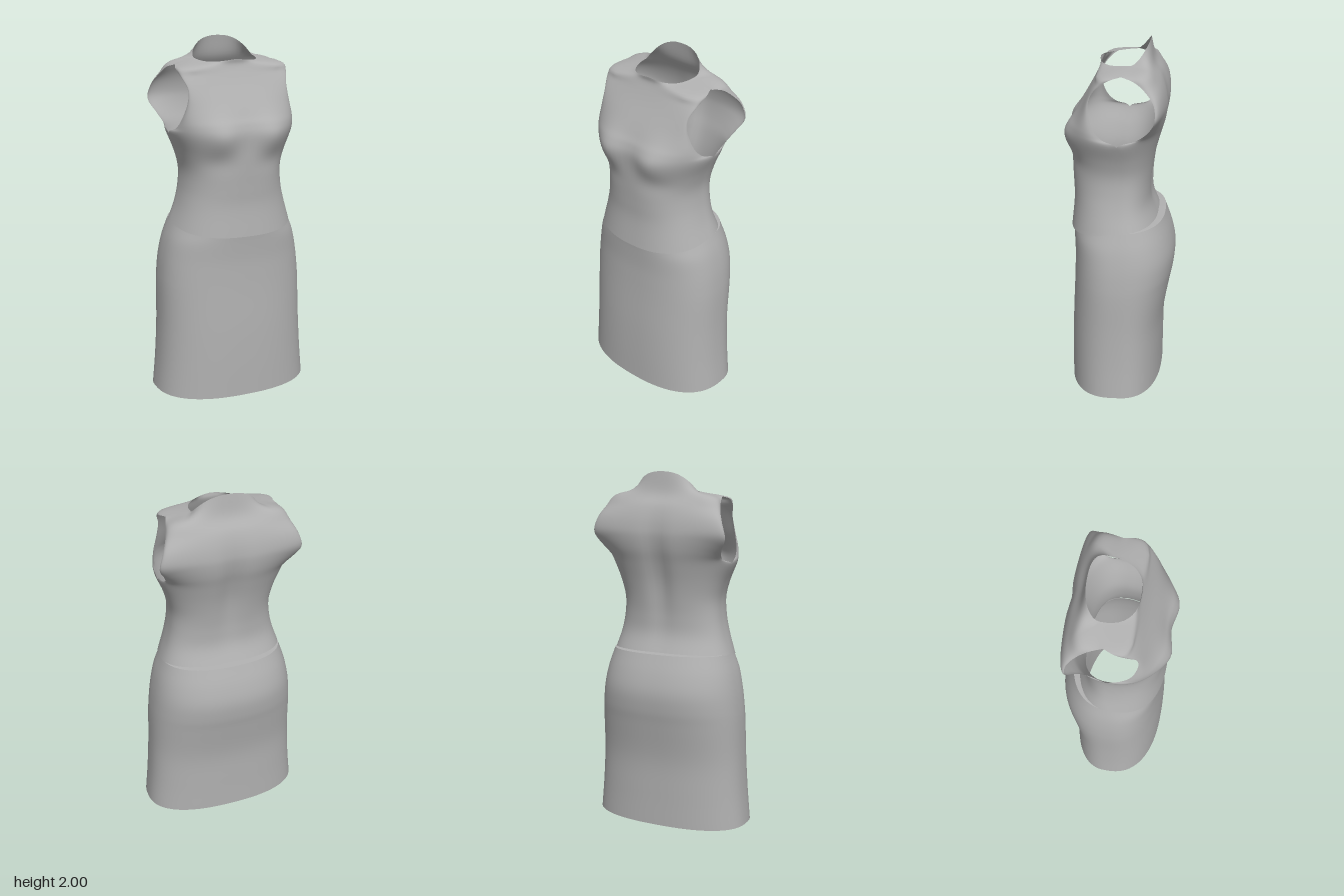
import * as THREE from 'three';
import { mergeGeometries, mergeVertices } from 'three/addons/utils/BufferGeometryUtils.js';

const NU = 40; // columns across a panel
const SUB = 5; // steps between neighbouring rows
const ROUND = 0.83; // squareness of the cross-sections

// Row: [y at centre, y at edge, x of edge, z of edge, z at centre]
function rowPoint([yc, ye, ex, ez, zc], u) {
  const a = Math.abs(u) * Math.PI / 2;
  const s = Math.pow(Math.sin(a), ROUND);
  const c = Math.pow(Math.max(0, Math.cos(a)), ROUND);
  return new THREE.Vector3(Math.sign(u) * ex * s, yc + (ye - yc) * u * u, ez + (zc - ez) * c);
}

// Smooth panel through the rows; a row may also be a function of u.
// Segment `straight` keeps its outer edge straight so both panels meet there.
function panel(rows, { back = false, straight = -1, relief = () => 0 } = {}) {
  const pos = [], index = [];
  const nv = (rows.length - 1) * SUB;
  for (let i = 0; i <= NU; i++) {
    const u = (i / NU) * 2 - 1;
    const pts = rows.map(r => (typeof r === 'function' ? r(u) : rowPoint(r, u)));
    const curve = new THREE.CatmullRomCurve3(pts, false, 'catmullrom', 0.5);
    for (let j = 0; j <= nv; j++) {
      const p = curve.getPoint(j / nv);
      const k = Math.floor(j / SUB);
      if (Math.abs(u) === 1 && k === straight) p.lerpVectors(pts[k], pts[k + 1], (j % SUB) / SUB);
      p.z += relief(p.x, p.y) * (1 - u * u);
      pos.push(p.x, p.y, p.z);
    }
  }
  const n = nv + 1;
  for (let i = 0; i < NU; i++) for (let j = 0; j < nv; j++) {
    const a = i * n + j, b = a + n, c = b + 1, d = a + 1;
    if (back) index.push(a, c, b, a, d, c);
    else index.push(a, b, c, a, c, d);
  }
  const g = new THREE.BufferGeometry();
  g.setAttribute('position', new THREE.Float32BufferAttribute(pos, 3));
  g.setIndex(index);
  return g;
}

function sewn(front, back) {
  const g = mergeVertices(mergeGeometries([front, back]), 1e-4);
  g.computeVertexNormals();
  return g;
}

const bump = (t, centre, width) => Math.exp(-(((t - centre) / width) ** 2));

// Neckline in the middle half of the edge, shoulder seam outside it
function topEdge(depth, rise, baseY) {
  return u => {
    const t = Math.abs(u), s = Math.sign(u);
    if (t >= 0.5) {
      const k = (t - 0.5) * 2;
      return new THREE.Vector3(s * (0.175 + 0.125 * k), 1.892 - 0.026 * k, -0.06 + 0.04 * k);
    }
    const c = Math.max(0, Math.cos(t * Math.PI));
    const sn = Math.pow(Math.sin(t * Math.PI), 0.85);
    const y = 1.892 + rise * Math.pow(c, 1.3) - baseY * Math.sin(2 * t * Math.PI);
    return new THREE.Vector3(s * 0.175 * sn, y, -0.06 + depth * Math.pow(c, 0.85));
  };
}

// Side seam shared by both bodice panels: [y, x]
const seam = [[1.0, 0.347], [1.1, 0.312], [1.2, 0.29], [1.3, 0.285], [1.4, 0.31], [1.5, 0.35]];
const seamRows = (centreY, centreZ) => seam.map(([y, x], i) => [i ? y : centreY, y, x, 0, centreZ[i]]);

function makeBodice() {
  const front = panel([
    ...seamRows(0.945, [0.285, 0.27, 0.272, 0.278, 0.288, 0.302]),
    [1.56, 1.535, 0.338, 0.08, 0.285],
    [1.61, 1.59, 0.322, 0.13, 0.252],
    [1.69, 1.68, 0.297, 0.155, 0.205],
    [1.76, 1.75, 0.29, 0.145, 0.165],
    [1.82, 1.81, 0.31, 0.1, 0.135],
    [1.865, 1.85, 0.318, 0.04, 0.117],
    topEdge(0.18, 0.004, 0.012),
  ], {
    straight: 4,
    // bust with a shallow dip between, drawn in underneath
    relief: (x, y) => bump(y, 1.5, 0.1) * (0.022 * bump(Math.abs(x), 0.16, 0.08) - 0.018 * bump(x, 0, 0.08))
      - 0.012 * bump(y, 1.36, 0.06) * bump(Math.abs(x), 0.18, 0.12),
  });
  const back = panel([
    ...seamRows(0.985, [-0.215, -0.172, -0.168, -0.178, -0.195, -0.22]),
    [1.58, 1.535, 0.338, -0.1, -0.242],
    [1.65, 1.59, 0.36, -0.165, -0.252],
    [1.7, 1.66, 0.395, -0.2, -0.25],
    [1.76, 1.74, 0.375, -0.195, -0.238],
    [1.82, 1.8, 0.345, -0.15, -0.215],
    [1.89, 1.845, 0.322, -0.09, -0.172],
    topEdge(-0.09, 0.108, 0),
  ], {
    back: true,
    straight: 4,
    // hollow along the spine
    relief: (x, y) => 0.028 * bump(x, 0, 0.06) * bump(y, 1.45, 0.28),
  });
  return sewn(front, back);
}

function makeSkirt() {
  // [y, half width, front z, back z]
  const rings = [
    [0.2, 0.438, 0.287, -0.236], [0.4, 0.426, 0.282, -0.242], [0.6, 0.42, 0.272, -0.275],
    [0.7, 0.413, 0.268, -0.294], [0.8, 0.4, 0.266, -0.3], [0.9, 0.378, 0.27, -0.28],
  ];
  const front = panel([
    [0.004, 0.02, 0.455, 0, 0.288],
    ...rings.map(([y, w, zf]) => [y, y, w, 0, zf]),
    [0.955, 1.0, 0.344, 0, 0.274],
  ]);
  const back = panel([
    [0.015, 0.02, 0.455, 0, -0.235],
    ...rings.map(([y, w, , zb]) => [y, y, w, 0, zb]),
    [1.008, 1.0, 0.344, 0, -0.242],
  ], { back: true });
  return sewn(front, back);
}

// Narrow ledge turning the skirt's back waist edge in to the bodice
function makeLedge() {
  const g = panel([
    [1.008, 1.0, 0.344, 0, -0.242],
    [1.012, 1.0, 0.342, 0, -0.2],
  ], { back: true });
  g.computeVertexNormals();
  return g;
}

export function createModel() {
  const cloth = new THREE.MeshStandardMaterial({ color: 0xb0b0b0, side: THREE.DoubleSide });
  cloth.name = 'grey cloth';
  const dress = new THREE.Group();
  dress.name = 'dress';
  const parts = { bodice: makeBodice(), skirt: makeSkirt(), waistLedge: makeLedge() };
  for (const [name, geometry] of Object.entries(parts)) {
    const mesh = new THREE.Mesh(geometry, cloth);
    mesh.name = name;
    dress.add(mesh);
  }
  return dress;
}
